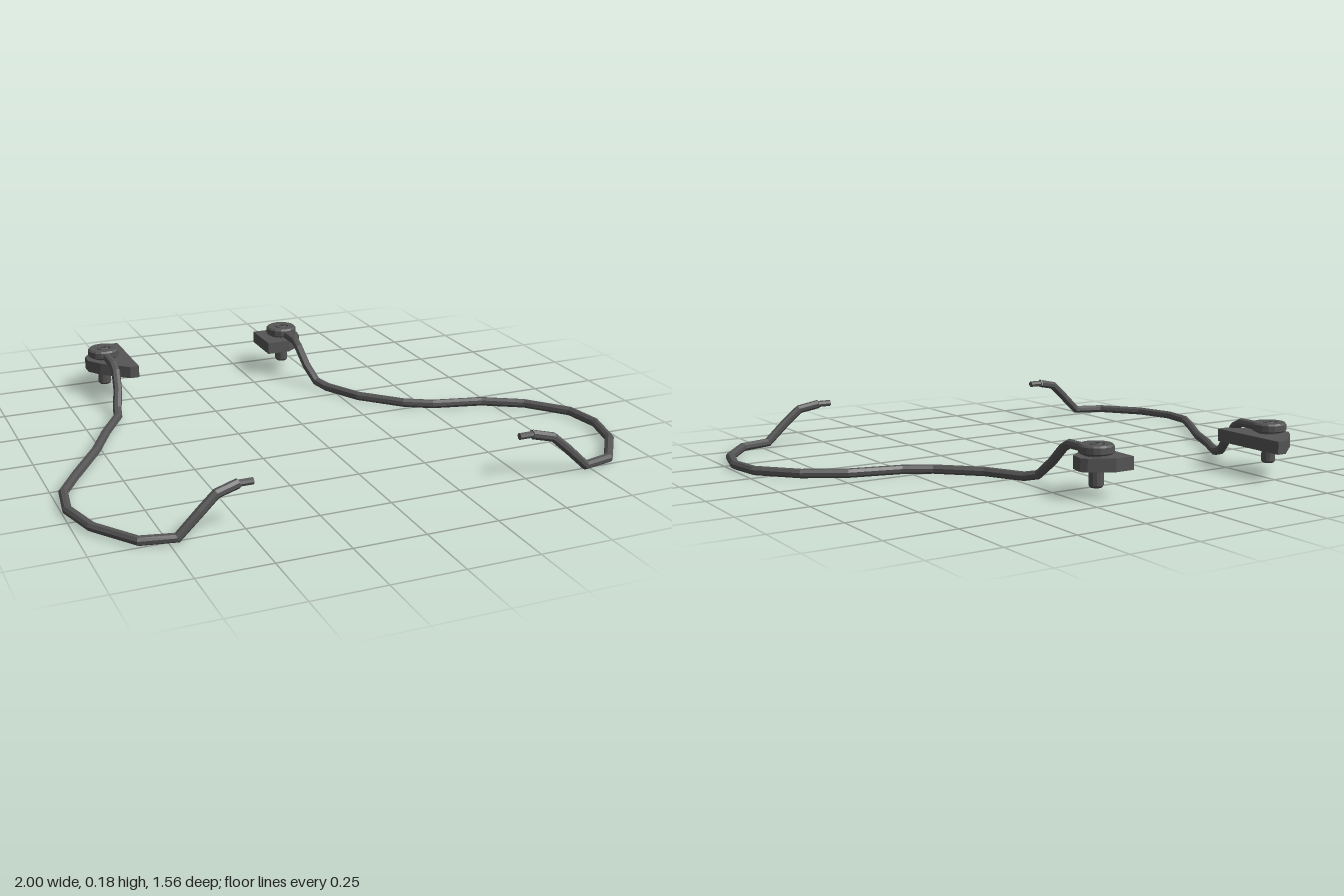
import * as THREE from 'three';

const material = new THREE.MeshStandardMaterial({ color: 0x555555, flatShading: true });
const WIRE = 0.0165;

// Straight-segment path with mitred corners, one tube ring per point
class BentPath extends THREE.Curve {
  constructor(points) {
    super();
    this.points = points.map((p) => new THREE.Vector3(...p));
  }
  getPoint(t, target = new THREE.Vector3()) {
    const n = this.points.length - 1;
    const i = Math.min(Math.floor(t * n + 1e-6), n - 1);
    return target.lerpVectors(this.points[i], this.points[i + 1], t * n - i);
  }
  getPointAt(u, target) { return this.getPoint(u, target); }
  getTangentAt(u, target = new THREE.Vector3()) {
    const p = this.points, n = p.length - 1, i = Math.round(u * n);
    target.set(0, 0, 0);
    if (i > 0) target.add(p[i].clone().sub(p[i - 1]).normalize());
    if (i < n) target.add(p[i + 1].clone().sub(p[i]).normalize());
    return target.normalize();
  }
}

function add(group, name, geometry, x = 0, y = 0, z = 0) {
  const mesh = new THREE.Mesh(geometry, material);
  mesh.name = name;
  mesh.position.set(x, y, z);
  group.add(mesh);
  return mesh;
}

// Bent rod: heel end, body on the ground, raised thin tip
function addRod(group, points, side) {
  add(group, 'rod', new THREE.TubeGeometry(new BentPath(points), points.length - 1, WIRE, 8));
  const [x, y, z] = points[points.length - 1];
  const cap = add(group, 'rodEnd', new THREE.CircleGeometry(WIRE, 8), x, y, z);
  cap.rotation.y = -side * Math.PI / 2;
  const tip = add(group, 'rodTip', new THREE.CylinderGeometry(0.012, 0.012, 0.05, 8), x - side * 0.024, y, z);
  tip.rotation.z = Math.PI / 2;
}

// Flat mounting plate from an outline in x, z
function addPlate(group, outline) {
  const shape = new THREE.Shape(outline.map(([x, z]) => new THREE.Vector2(x, -z)));
  const plate = new THREE.ExtrudeGeometry(shape, { depth: 0.045, bevelEnabled: false });
  plate.rotateX(-Math.PI / 2);
  add(group, 'mountingPlate', plate, 0, 0.095, 0);
}

// Washer with chamfered rim and a socket-head bolt through the plate
function addFastener(group, x, z) {
  const lathe = (profile, sides) =>
    new THREE.LatheGeometry(profile.map((p) => new THREE.Vector2(...p)), sides);
  add(group, 'washer', lathe([
    [0, 0.138], [0.042, 0.138], [0.042, 0.146], [0.054, 0.146], [0.06, 0.151],
    [0.06, 0.172], [0.054, 0.178], [0.028, 0.178], [0.026, 0.172], [0, 0.172],
  ], 16), x, 0, z);
  add(group, 'boltHead', lathe([
    [0.022, 0.17], [0.022, 0.178], [0.019, 0.18], [0.011, 0.18], [0.011, 0.173], [0, 0.173],
  ], 12), x, 0, z);
  add(group, 'boltShank', lathe([
    [0, 0.034], [0.02, 0.034], [0.025, 0.041], [0.025, 0.12], [0, 0.12],
  ], 12), x, 0, z);
}

export function createModel() {
  const model = new THREE.Group();
  model.name = 'rodPair';
  const g = WIRE;

  // Front hook shared by both rods, mirrored by side
  const hook = (s) => [
    [0.965, g, 0.3], [0.985, g, 0.435], [0.945, g, 0.585], [0.838, g, 0.735],
    [0.725, 0.019, 0.764], [0.65, 0.09, 0.761], [0.595, 0.138, 0.755], [0.52, 0.154, 0.742],
  ].map(([x, y, z]) => [s * x, y, z]);

  // Rise from the ground up to the washer
  const rise = (x, dx) => [
    [x, 0.155, -0.6], [x, 0.155, -0.49], [x, 0.138, -0.455],
    [x + dx * 0.01, 0.08, -0.4], [x + dx * 0.03, 0.028, -0.345],
  ];

  const left = new THREE.Group();
  left.name = 'leftRod';
  addRod(left, [
    ...rise(0.175, 1), [0.23, g, -0.295], [0.3, g, -0.155], [0.43, g, -0.02],
    [0.525, g, 0.035], [0.71, g, 0.08], [0.85, g, 0.163], ...hook(1),
  ], 1);
  addPlate(left, [
    [0.08, -0.545], [0.17, -0.545], [0.235, -0.595], [0.245, -0.65],
    [0.23, -0.67], [0.15, -0.715], [0.08, -0.715],
  ]);
  addFastener(left, 0.17, -0.633);

  const right = new THREE.Group();
  right.name = 'rightRod';
  addRod(right, [
    ...rise(-0.577, -1), [-0.617, g, -0.3], [-0.7, g, -0.16], [-0.775, g, -0.01],
    [-0.895, g, 0.18], ...hook(-1),
  ], -1);
  addPlate(right, [
    [-0.48, -0.475], [-0.48, -0.785], [-0.515, -0.785], [-0.615, -0.7],
    [-0.645, -0.66], [-0.645, -0.61], [-0.61, -0.56], [-0.515, -0.475],
  ]);
  addFastener(right, -0.577, -0.633);

  model.add(left, right);
  return model;
}
